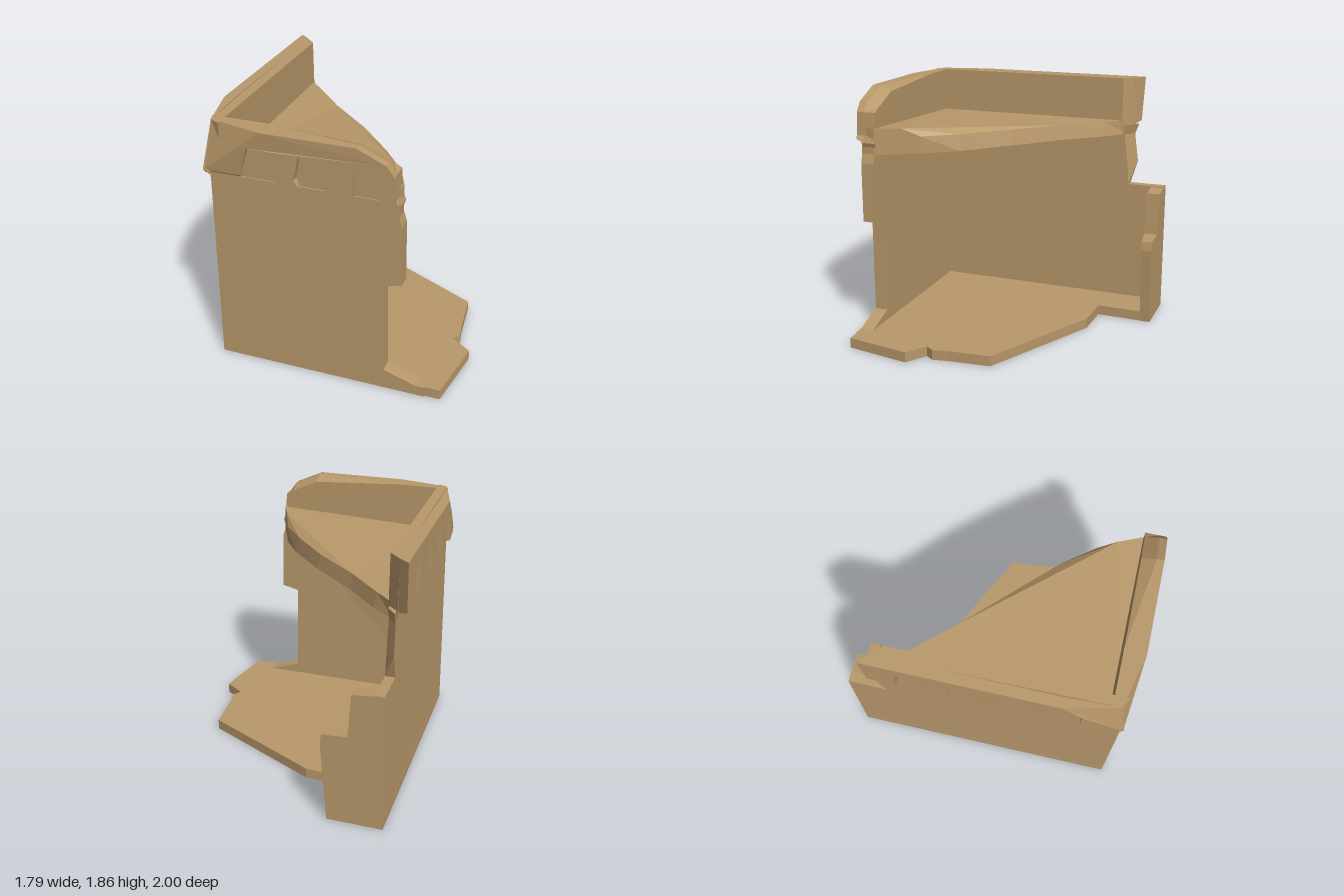
import * as THREE from 'three';

const stone = new THREE.MeshStandardMaterial({ color: 0xb8986a, flatShading: true });

// Prism from an outline: axis z takes [x,y], axis x takes [z,y], axis y takes [x,z].
// 'bend' may move each vertex afterwards.
function prism(name, axis, outline, from, to, bend) {
  const flat = outline.map(([a, b]) =>
    axis === 'x' ? new THREE.Vector2(-a, b) : new THREE.Vector2(a, axis === 'y' ? -b : b));
  const geo = new THREE.ExtrudeGeometry(new THREE.Shape(flat), { depth: to - from, bevelEnabled: false });
  geo.translate(0, 0, from);
  if (axis === 'x') geo.rotateY(Math.PI / 2);
  if (axis === 'y') geo.rotateX(-Math.PI / 2);
  if (bend) {
    const p = geo.attributes.position, v = new THREE.Vector3();
    for (let i = 0; i < p.count; i++) {
      bend(v.fromBufferAttribute(p, i));
      p.setXYZ(i, v.x, v.y, v.z);
    }
    geo.computeVertexNormals();
  }
  const mesh = new THREE.Mesh(geo, stone);
  mesh.name = name;
  return mesh;
}

// Worn top corner shared by all parapet pieces
const wearCorner = v => {
  if (v.x < -0.8 && v.z > 0.93 && v.y > 1.8) { v.x = -0.81; v.z = 0.91; }
};

export function createModel() {
  const tower = new THREE.Group();
  tower.name = 'ruinedTower';

  // Broken ground floor
  tower.add(prism('groundFloor', 'y', [
    [-0.85, -0.99], [-0.45, -0.99], [-0.46, -0.58], [-0.16, -0.57], [0.73, -0.13], [0.76, 0.18],
    [0.78, 0.3], [0.74, 0.36], [0.89, 0.46], [0.81, 0.95], [-0.85, 0.95],
  ], 0, 0.077));

  // Front wall with its broken right edge
  tower.add(prism('frontWall', 'z', [
    [-0.85, 0], [0.7, 0], [0.7, 0.076], [0.63, 0.08], [0.4, 0.155], [0.395, 0.86], [0.525, 0.89],
    [0.52, 1.33], [0.5, 1.4], [0.5, 1.5], [-0.82, 1.5],
  ], 0.86, 0.96, v => {
    if (v.z < 0.9 && v.x < -0.5) v.z -= 0.05 * v.y / 1.5;
  }));

  // Left wall, leaning in slightly, stepped down at the back
  tower.add(prism('leftWall', 'x', [
    [0.955, 0], [-1, 0], [-1, 1.02], [-0.715, 1.02], [-0.77, 1.2], [-0.74, 1.42], [-0.77, 1.5], [0.955, 1.5],
  ], -0.85, -0.76, v => {
    if (v.x < -0.8) v.x += 0.03 * v.y / 1.5;
    if (v.x > -0.8 && v.y > 1.1 && v.z < 0) v.z += 0.07;
  }));

  // Short broken back wall
  tower.add(prism('backWall', 'z', [
    [-0.84, 0], [-0.45, 0], [-0.4, 0.6], [-0.41, 0.67], [-0.59, 0.68], [-0.61, 1], [-0.83, 1.02],
  ], -1, -0.9, v => {
    if (v.z > -0.95 && v.x > -0.5) v.z -= 0.02;
  }));

  // Triangular remnant of the upper floor
  tower.add(prism('upperFloor', 'y', [
    [-0.79, -0.68], [-0.64, -0.53], [-0.4, -0.27], [-0.07, 0.03], [0.2, 0.33], [0.37, 0.55],
    [0.42, 0.68], [0.5, 0.86], [0.49, 0.92], [-0.79, 0.92],
  ], 1.42, 1.53, v => {
    if (v.y < 1.5) {
      v.y -= 0.03 * Math.max(0, v.z);
      if (v.x < 0.3 && v.x > -0.7) { v.x += 0.015; v.z -= 0.015; }
    } else if (v.x > 0.4) v.y += 0.06;
  }));

  // Parapet core: left run with a slanting broken end, then the front run
  const parapet = new THREE.Group();
  parapet.name = 'parapet';
  parapet.add(prism('leftParapet', 'y', [
    [-0.83, -0.73], [-0.75, -0.65], [-0.74, 0.84], [-0.74, 0.95], [-0.83, 0.95],
  ], 1.45, 1.86, wearCorner));
  const brokenEnd = [[0.49, 1.53], [0.48, 1.7], [0.43, 1.77], [0.23, 1.86], [-0.43, 1.86]];
  parapet.add(prism('frontParapet', 'z', [
    [-0.83, 1.45], [0.5, 1.45], [0.51, 1.48], ...brokenEnd, [-0.83, 1.86],
  ], 0.85, 0.95, v => {
    wearCorner(v);
    if (v.z < 0.9 && v.x > 0.2 && v.y > 1.72) v.y -= 0.04;
  }));

  // Projecting front band with notches between the corbels
  parapet.add(prism('frontCorbels', 'z', [
    [-0.87, 1.48], [-0.6, 1.48], [-0.53, 1.73], [-0.33, 1.735], [-0.305, 1.57], [-0.34, 1.48],
    [-0.165, 1.48], [-0.2, 1.56], [-0.165, 1.73], [0.02, 1.73], [0.02, 1.48], [0.2, 1.48], [0.2, 1.71],
    [0.36, 1.69], [0.385, 1.48], [0.51, 1.48], ...brokenEnd, [-0.87, 1.86],
  ], 0.945, 1, v => {
    if (v.z > 0.97) {
      if (v.y < 1.5) v.y += 0.03;
      if (v.x < -0.5) v.z = v.y < 1.6 ? 0.965 : v.x < -0.8 ? 0.97 : 0.99;
    }
    wearCorner(v);
  }));

  // Projecting left band, four notches at even spacing
  const side = [[-0.77, 1.48]];
  for (let i = 0; i < 4; i++) {
    const z = -0.55 + i * 0.353;
    side.push([z - 0.02, 1.48], [z, 1.73], [z + 0.17, 1.73], [z + 0.17, 1.48]);
  }
  side.push([0.97, 1.48], [0.97, 1.86], [0.55, 1.86], [-0.79, 1.86]);
  parapet.add(prism('leftCorbels', 'x', side, -0.9, -0.825, v => {
    if (v.x < -0.85) {
      if (v.y < 1.5) v.y += 0.035;
      if (v.z > 0.9) v.x = -0.87;
    } else if (v.z < -0.7) v.z += 0.06;
    wearCorner(v);
  }));
  tower.add(parapet);
  return tower;
}
